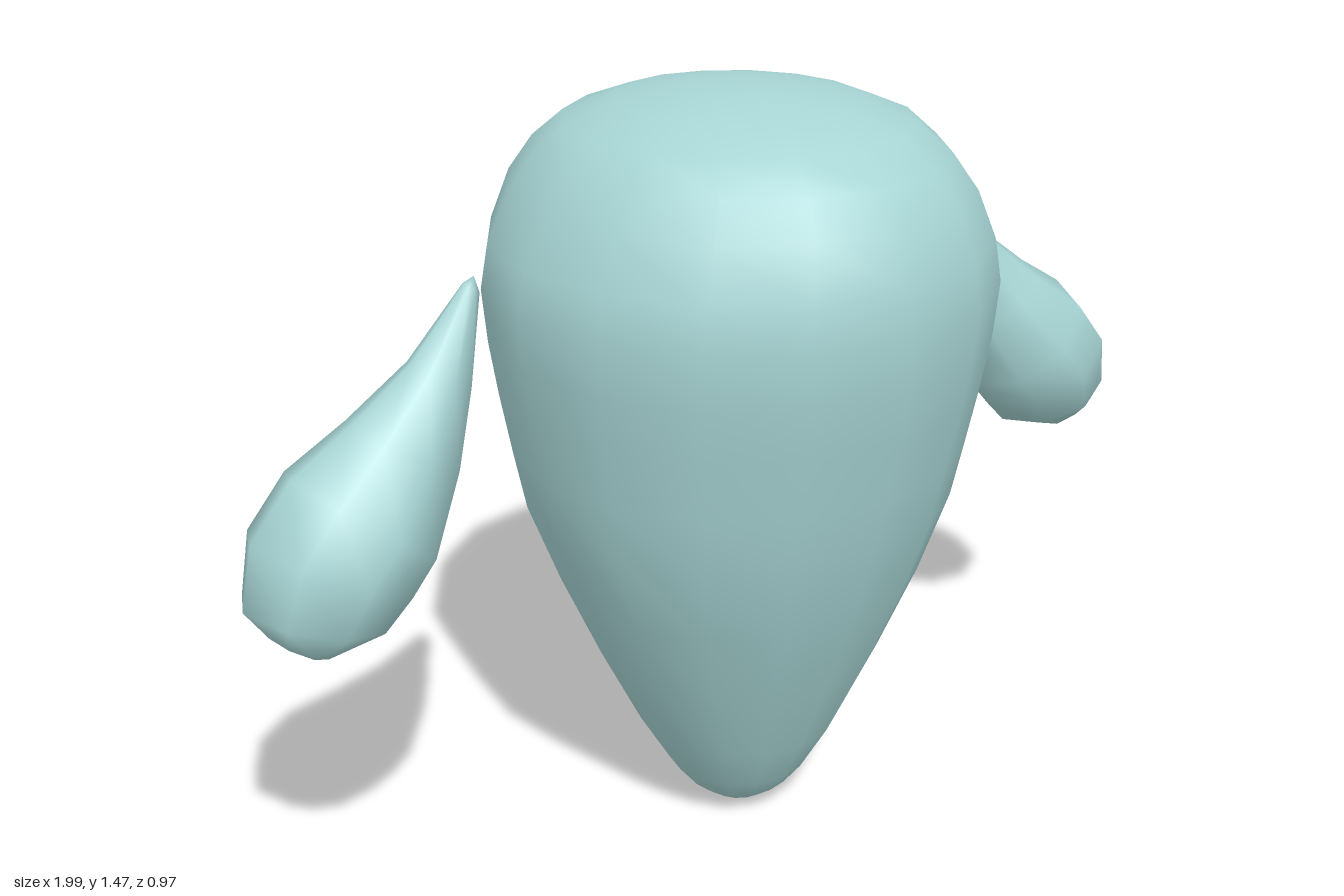
import * as THREE from 'three';
import { mergeVertices } from 'three/addons/utils/BufferGeometryUtils.js';

// Closed smooth skin over elliptical rings; each ring has centre c and half axes u, v
function loft(rings, segments) {
  const positions = [], index = [];
  for (const { c, u, v } of rings) {
    for (let j = 0; j < segments; j++) {
      const a = (j / segments) * Math.PI * 2;
      const p = c.clone().addScaledVector(u, Math.cos(a)).addScaledVector(v, Math.sin(a));
      positions.push(p.x, p.y, p.z);
    }
  }
  for (let i = 0; i < rings.length - 1; i++) {
    for (let j = 0; j < segments; j++) {
      const k = (j + 1) % segments;
      const a = i * segments + j, b = i * segments + k;
      const c = a + segments, d = b + segments;
      if (i > 0) index.push(a, b, c);
      if (i < rings.length - 2) index.push(b, d, c);
      else if (i === 0) index.push(a, b, c);
    }
  }
  const geometry = new THREE.BufferGeometry();
  geometry.setAttribute('position', new THREE.Float32BufferAttribute(positions, 3));
  geometry.setIndex(index);
  const welded = mergeVertices(geometry, 1e-5);
  welded.computeVertexNormals();
  return welded;
}

const vec = (x, y, z) => new THREE.Vector3(x, y, z);

export function createModel() {
  const group = new THREE.Group();
  const skin = new THREE.MeshStandardMaterial({ color: 0xa8d5d5 });
  skin.name = 'pale teal';

  // Body: height, half width, half depth
  const bodyRings = [
    [0, 0, 0], [0.015, 0.06, 0.06], [0.05, 0.105, 0.105], [0.1, 0.145, 0.143],
    [0.2, 0.203, 0.2], [0.36, 0.28, 0.273], [0.53, 0.353, 0.345], [0.69, 0.413, 0.397],
    [0.8, 0.433, 0.423], [0.92, 0.452, 0.452], [1.02, 0.465, 0.472], [1.12, 0.472, 0.483],
    [1.2, 0.455, 0.475], [1.29, 0.41, 0.45], [1.355, 0.364, 0.402], [1.405, 0.31, 0.335],
    [1.44, 0.22, 0.235], [1.46, 0.11, 0.12], [1.467, 0, 0],
  ].map(([y, rx, rz]) => ({ c: vec(0, y, 0), u: vec(0, 0, rz), v: vec(rx, 0, 0) }));
  const body = new THREE.Mesh(loft(bodyRings, 16), skin);
  body.name = 'body';
  group.add(body);

  // Arms: inner x, y, outer x, y, half depth, from the tip down
  const armRings = [
    [0.53, 1.2, 0.53, 1.2, 0], [0.523, 1.17, 0.55, 1.19, 0.016],
    [0.553, 1.01, 0.66, 1.07, 0.057], [0.59, 0.875, 0.78, 0.985, 0.102],
    [0.655, 0.73, 0.89, 0.92, 0.147], [0.7, 0.68, 0.97, 0.825, 0.15],
    [0.75, 0.63, 0.995, 0.71, 0.125], [0.86, 0.595, 0.955, 0.65, 0.065],
    [0.91, 0.615, 0.91, 0.615, 0],
  ];
  for (const [side, name] of [[1, 'leftArm'], [-1, 'rightArm']]) {
    const rings = armRings.map(([xi, yi, xo, yo, rz]) => ({
      c: vec((side * (xi + xo)) / 2, (yi + yo) / 2, -0.037),
      u: vec((side * (xo - xi)) / 2, (yo - yi) / 2, 0),
      v: vec(0, 0, side * rz),
    }));
    const arm = new THREE.Mesh(loft(rings, 8), skin);
    arm.name = name;
    group.add(arm);
  }
  return group;
}
